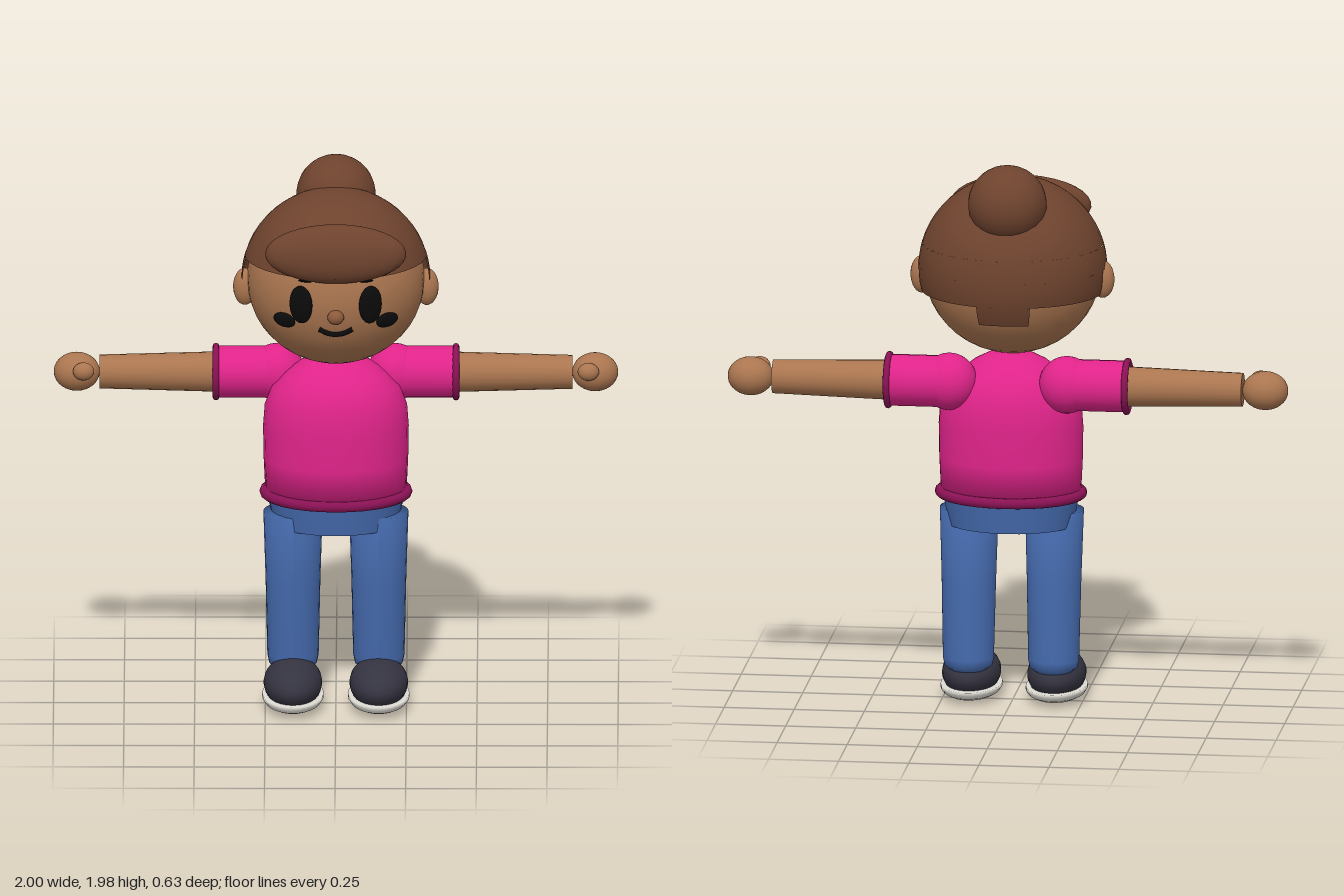
import * as THREE from 'three';

const mat = (name, color, side = THREE.FrontSide) => {
  const m = new THREE.MeshStandardMaterial({ color, side });
  m.name = name;
  return m;
};

export function createModel() {
  const skin = mat('skin', 0xab7650);
  const noseBrown = mat('nose brown', 0x8c5a3b);
  const hair = mat('hair brown', 0x6e432e, THREE.DoubleSide);
  const pink = mat('shirt pink', 0xe0248a);
  const trim = mat('trim pink', 0x8c1256);
  const denim = mat('denim blue', 0x456aad, THREE.DoubleSide);
  const shoeDark = mat('shoe charcoal', 0x343340);
  const soleWhite = mat('sole white', 0xdcdad2);
  const black = mat('black', 0x0b0b0b);

  const model = new THREE.Group();
  model.name = 'character';
  const add = (name, geo, material, pos = [0, 0, 0], parent = model) => {
    const mesh = new THREE.Mesh(geo, material);
    mesh.name = name;
    mesh.position.set(...pos);
    parent.add(mesh);
    return mesh;
  };
  const ellipsoid = (rx, ry, rz, seg = 24) =>
    new THREE.SphereGeometry(1, seg, Math.round(seg * 0.7)).scale(rx, ry, rz);
  const lathe = (points, seg = 24) =>
    new THREE.LatheGeometry(points.map(([r, y]) => new THREE.Vector2(r, y)), seg);

  // Head
  const head = { y: 1.58, z: -0.01, rx: 0.315, ry: 0.305, rz: 0.285 };
  add('head', ellipsoid(head.rx, head.ry, head.rz, 32), skin, [0, head.y, head.z]);
  add('nose', ellipsoid(0.03, 0.026, 0.028, 16), noseBrown, [0, 1.525, 0.28]);

  // Point on the face for a given x and y
  const onFace = (x, y, lift = 0) => {
    const d = 1 - (x / head.rx) ** 2 - ((y - head.y) / head.ry) ** 2;
    return new THREE.Vector3(x, y, head.z + head.rz * Math.sqrt(d) + lift);
  };
  const faceDisc = (name, x, y, rx, ry, depth = 0.014) => {
    const p = onFace(x, y, 0.008);
    const disc = add(name, ellipsoid(rx, ry, depth, 20), black, p.toArray());
    const normal = new THREE.Vector3(x / head.rx ** 2, (y - head.y) / head.ry ** 2,
      (p.z - head.z) / head.rz ** 2);
    disc.lookAt(p.clone().add(normal));
  };

  // Hair: a stepped shell, cap first and then bands that narrow towards the nape
  const hairGroup = new THREE.Group();
  hairGroup.name = 'hair';
  model.add(hairGroup);
  const bands = [
    ['hairCap', Math.PI, 0, 1.294],
    ['hairTempleBand', 1.73, 1.294, 1.54],
    ['hairBackBand', 1.375, 1.54, 1.815],
    ['hairNape', 0.3, 1.815, 2.043],
  ];
  for (const [name, half, top, bottom] of bands) {
    const rows = Math.max(2, Math.ceil((bottom - top) * 9));
    const geo = new THREE.SphereGeometry(1, 36, rows, Math.PI * 1.5 - half, half * 2, top, bottom - top)
      .scale(0.335, 0.33, 0.312);
    add(name, geo, hair, [0, 1.58, -0.003], hairGroup);
  }
  const fringe = add('fringe', ellipsoid(0.25, 0.106, 0.06), hair, [0, 1.752, 0.25], hairGroup);
  fringe.rotation.x = -0.15;
  add('bun', ellipsoid(0.14, 0.138, 0.138), hair, [0, 1.848, -0.163], hairGroup);

  // Mouth
  const smile = [-0.06, -0.045, -0.02, 0, 0.02, 0.045, 0.06].map(
    (x) => onFace(x, 1.454 + 6 * x * x, 0.004));
  add('mouth', new THREE.TubeGeometry(new THREE.CatmullRomCurve3(smile), 20, 0.009, 8), black);

  // Torso
  const torso = lathe([[0, 0.775], [0.25, 0.775], [0.256, 0.9], [0.258, 1.02], [0.252, 1.1],
    [0.225, 1.17], [0.18, 1.215], [0.13, 1.255], [0.08, 1.28], [0, 1.285]], 28);
  add('shirt', torso.scale(1, 1, 0.725), pink, [0, 0, -0.055]);
  const hem = new THREE.TorusGeometry(0.252, 0.019, 10, 32).rotateX(Math.PI / 2).scale(1, 1, 0.765);
  add('shirtHem', hem, trim, [0, 0.775, -0.055]);

  // Open waist of the trousers
  const hips = new THREE.CylinderGeometry(0.245, 0.222, 0.12, 28, 1, true).scale(1, 1, 0.74);
  add('trouserWaist', hips, denim, [0, 0.718, -0.056]);

  for (const s of [-1, 1]) {
    const side = s > 0 ? 'left' : 'right';

    // Face details
    faceDisc(`${side}Eye`, s * 0.123, 1.567, 0.043, 0.07, 0.02);
    faceDisc(`${side}Cheek`, s * 0.182, 1.497, 0.045, 0.029);
    faceDisc(`${side}Brow`, s * 0.108, 1.654, 0.025, 0.005);
    add(`${side}Ear`, ellipsoid(0.042, 0.068, 0.037, 18), skin, [s * 0.322, 1.548, -0.014]);

    // Arm, built pointing along +x and turned round for the right side
    const arm = new THREE.Group();
    arm.name = `${side}Arm`;
    arm.position.set(0, 1.19, -0.142);
    model.add(arm);
    const limb = (name, r0, r1, x0, x1, material) =>
      add(name, new THREE.CylinderGeometry(s > 0 ? r0 : r1, s > 0 ? r1 : r0, x1 - x0, 20)
        .rotateZ(Math.PI / 2), material, [s * (x0 + x1) / 2, 0, 0], arm);
    add('shoulder', ellipsoid(0.1, 0.102, 0.096), pink, [s * 0.21, 0, 0], arm);
    limb('sleeve', 0.092, 0.092, 0.21, 0.425, pink);
    add('sleeveCuff', new THREE.TorusGeometry(0.09, 0.012, 8, 24).rotateY(Math.PI / 2), trim,
      [s * 0.425, 0, 0], arm);
    // Sides swap ends through the turn above, so the wrist stays outermost
    limb('forearm', 0.06, 0.072, 0.4, 0.838, skin).rotation.z = Math.PI;
    add('hand', ellipsoid(0.082, 0.069, 0.07), skin, [s * 0.918, 0, -0.002], arm);
    add('thumb', ellipsoid(0.038, 0.032, 0.03, 16), skin, [s * 0.894, 0.022, 0.07], arm);

    // Trouser leg, sheared back towards the ankle
    const leg = lathe([[0, 0.12], [0.06, 0.122], [0.085, 0.14], [0.091, 0.17], [0.097, 0.45],
      [0.105, 0.71], [0, 0.71]]);
    const p = leg.attributes.position;
    for (let i = 0; i < p.count; i++) {
      const t = (0.71 - p.getY(i)) / 0.59;
      p.setZ(i, p.getZ(i) * 0.97 - 0.03 - 0.028 * t);
    }
    leg.computeVertexNormals();
    add(`${side}TrouserLeg`, leg, denim, [s * 0.152, 0, 0]);

    // Shoe with a rounded sole
    add(`${side}Shoe`, ellipsoid(0.104, 0.084, 0.171), shoeDark, [s * 0.152, 0.095, 0.04]);
    const sole = lathe([[0, 0.004], [0.045, 0.008], [0.08, 0.016], [0.1, 0.028], [0.109, 0.042],
      [0.109, 0.054], [0, 0.056]], 28).scale(1, 1, 1.63);
    add(`${side}Sole`, sole, soleWhite, [s * 0.152, 0, 0.038]);
  }

  return model;
}
